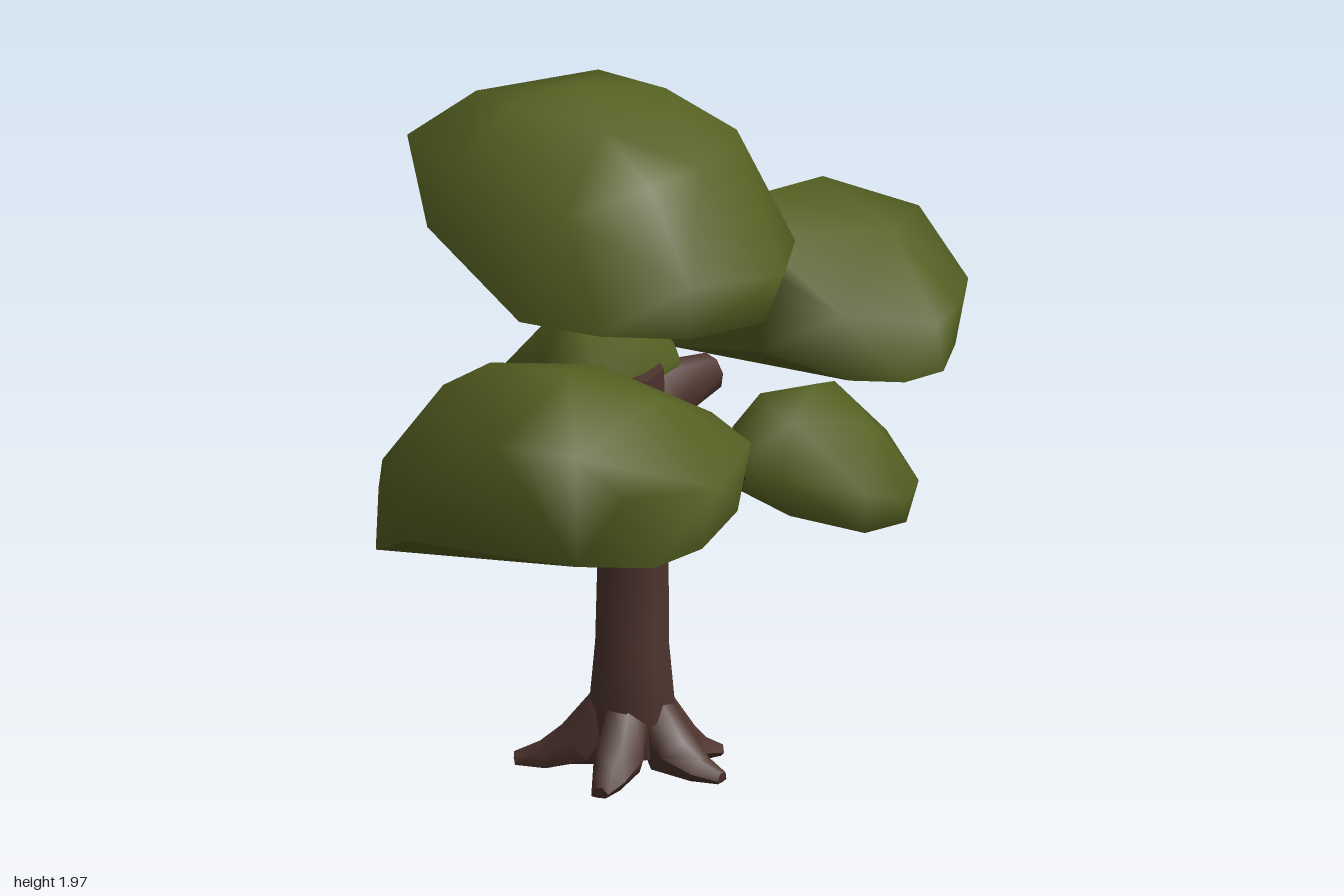
import * as THREE from 'three';
import { mergeGeometries, mergeVertices, toCreasedNormals } from 'three/addons/utils/BufferGeometryUtils.js';
import { ConvexGeometry } from 'three/addons/geometries/ConvexGeometry.js';

const V = (x, y, z) => new THREE.Vector3(x, y, z);

// Leaf cushion: smooth dome over an underside outline, with a sharp edge between the two
function cushion(underside, ...outlines) {
  const pos = new ConvexGeometry([underside, ...outlines].flat().map((p) => V(...p))).attributes.position;
  const low = underside.map((p) => V(...p));
  const faces = { dome: [], bottom: [] };
  for (let i = 0; i < pos.count; i += 3) {
    const tri = [0, 1, 2].map((k) => V().fromBufferAttribute(pos, i + k));
    const isBottom = tri.every((v) => low.some((p) => p.distanceTo(v) < 1e-4));
    faces[isBottom ? 'bottom' : 'dome'].push(...tri);
  }
  return mergeGeometries(Object.values(faces).map((points) => {
    const g = mergeVertices(new THREE.BufferGeometry().setFromPoints(points), 1e-4);
    g.computeVertexNormals();
    return g;
  }));
}

// Tapered limb through stations [x, y, z, radius], closed at both ends, never below ground
function limb(stations, sides = 8) {
  const path = stations.map(([x, y, z]) => V(x, y, z));
  const rings = [[0, 0], ...stations.map((s, i) => [i, s[3]]), [stations.length - 1, 0]];
  const pos = [], index = [];
  const up = V(0, 1, 0), q = new THREE.Quaternion();
  rings.forEach(([i, r], k) => {
    const dir = path[Math.min(i + 1, path.length - 1)].clone().sub(path[Math.max(i - 1, 0)]).normalize();
    q.setFromUnitVectors(up, dir);
    for (let j = 0; j < sides; j++) {
      const a = (j / sides) * Math.PI * 2 + 0.3;
      const p = V(Math.cos(a) * r, 0, -Math.sin(a) * r).applyQuaternion(q).add(path[i]);
      pos.push(p.x, Math.max(p.y, 0), p.z);
      if (k === rings.length - 1) continue;
      const b = k * sides + j, c = k * sides + ((j + 1) % sides);
      if (k > 0) index.push(b, c, b + sides);
      if (k === 0) index.push(b, c + sides, b + sides);
      else if (k < rings.length - 2) index.push(c, c + sides, b + sides);
    }
  });
  const g = new THREE.BufferGeometry();
  g.setAttribute('position', new THREE.Float32BufferAttribute(pos, 3));
  g.setIndex(index);
  return toCreasedNormals(g, 1.1);
}

export function createModel() {
  const tree = new THREE.Group();
  tree.name = 'tree';
  const bark = new THREE.MeshStandardMaterial({ color: 0x4e342e });
  bark.name = 'bark brown';
  const leaf = new THREE.MeshStandardMaterial({ color: 0x556022 });
  leaf.name = 'leaf green';
  const add = (name, geometry, material) => {
    const mesh = new THREE.Mesh(geometry, material);
    mesh.name = name;
    tree.add(mesh);
  };

  // Trunk and branches
  add('trunk', limb([
    [-0.04, 0.05, 0.005, 0.1], [-0.04, 0.2, 0.01, 0.117], [-0.04, 0.36, 0.01, 0.102], [-0.04, 0.6, 0.005, 0.098],
    [-0.04, 0.74, 0.02, 0.098], [-0.04, 0.9, 0.015, 0.09], [-0.04, 1.03, 0.03, 0.1], [-0.04, 1.15, 0.05, 0.105],
  ]), bark);
  add('upperBranch', limb([[-0.04, 0.93, 0.03, 0.08], [-0.02, 1.04, -0.1, 0.1], [0.05, 1.06, -0.29, 0.055]]), bark);
  add('lowerBranch', limb([[-0.04, 0.67, 0.01, 0.08], [0.03, 0.73, -0.11, 0.066], [0.13, 0.8, -0.31, 0.045]], 6), bark);

  // Spreading roots
  for (const [x, z] of [[-0.35, 0.1], [0, 0.3], [0.24, 0.03], [0.12, -0.21], [-0.19, -0.15]]) {
    const at = (t, y, r) => [-0.04 + (x + 0.04) * t, y, z * t, r];
    add('root', limb([at(0.15, 0.2, 0.06), at(0.45, 0.06, 0.075), at(0.75, 0.02, 0.048), at(1, 0.008, 0.025)], 6), bark);
  }

  // Leaf cushions: underside, outer outline, crown
  add('topFoliage', cushion(
    [[-0.62, 1.79, 0.22], [-0.44, 1.62, 0.47], [-0.1, 1.43, 0.6], [0.13, 1.41, 0.57], [0.32, 1.38, 0.4],
      [0.38, 1.34, 0.05], [0.2, 1.38, -0.28], [-0.17, 1.55, -0.36], [-0.48, 1.72, -0.12]],
    [[0.49, 1.52, 0.16], [0.41, 1.54, -0.08], [0.18, 1.6, -0.36], [-0.17, 1.79, -0.33], [0.35, 1.55, 0.46],
      [0.02, 1.73, 0.57], [-0.36, 1.8, 0.43]],
    [[-0.43, 1.93, 0.18], [-0.13, 1.97, 0.1], [0.26, 1.81, 0.2], [-0.28, 1.93, 0.27], [0, 1.9, 0.28], [-0.2, 1.94, -0.11],
      [0, 1.91, -0.12], [0.2, 1.81, -0.15], [0.18, 1.78, 0.36]],
  ), leaf);
  add('frontFoliage', cushion(
    [[-0.51, 0.74, 0.65], [-0.42, 0.8, 0.45], [-0.25, 0.9, 0.24], [0, 1.07, 0.16], [0.25, 0.94, 0.23],
      [0.45, 0.9, 0.37], [0.5, 0.89, 0.7], [0.43, 0.87, 0.86], [0.25, 0.88, 0.97], [0.02, 0.88, 0.97], [-0.3, 0.86, 0.89]],
    [[0.57, 1.08, 0.73], [0.49, 1.1, 0.37], [0.3, 1.12, 0.22], [-0.1, 1.1, 0.18], [-0.42, 1.05, 0.42], [-0.49, 1, 0.65],
      [-0.43, 0.97, 0.8], [-0.31, 1.02, 0.91], [0.02, 1.2, 1], [0.26, 1.2, 1], [0.38, 1.08, 0.94]],
    [[-0.33, 1.22, 0.6], [-0.15, 1.33, 0.68], [0.1, 1.34, 0.7], [0.33, 1.27, 0.6], [0.05, 1.28, 0.42]],
  ), leaf);
  add('backFoliage', cushion(
    [[0.61, 1.05, -0.6], [0.56, 1.05, -0.46], [0.45, 1.04, -0.7], [0.56, 1.07, -0.78], [0.4, 1.08, -0.9], [0.33, 1.14, -1],
      [-0.04, 1.08, -0.92], [-0.2, 1.07, -0.68], [-0.15, 1.06, -0.46], [0.2, 1.13, -0.31], [0.43, 1.06, -0.38]],
    [[0.62, 1.22, -0.67], [0.62, 1.2, -0.54], [0.58, 1.25, -0.82], [0.35, 1.38, -0.99], [-0.06, 1.3, -0.97],
      [-0.24, 1.23, -0.74], [-0.25, 1.24, -0.62], [-0.17, 1.28, -0.45], [0.2, 1.38, -0.29], [0.43, 1.26, -0.33]],
    [[0.43, 1.42, -0.65], [0.12, 1.52, -0.53], [0.15, 1.49, -0.8], [-0.08, 1.43, -0.6], [0.2, 1.44, -0.32], [0, 1.4, -0.38]],
  ), leaf);
  add('lowerFoliage', cushion(
    [[0.45, 0.57, -0.7], [0.42, 0.59, -0.5], [0.35, 0.63, -0.83], [0.25, 0.65, -0.38], [0.08, 0.74, -0.32],
      [0.02, 0.76, -0.6], [0.07, 0.76, -0.76]],
    [[0.48, 0.65, -0.65], [0.45, 0.72, -0.45], [0.28, 0.78, -0.28], [0.12, 0.8, -0.27], [0.02, 0.84, -0.5],
      [0.3, 0.76, -0.89], [0.08, 0.82, -0.82], [0.44, 0.66, -0.8]],
    [[0.4, 0.87, -0.6], [0.25, 0.98, -0.55], [0.2, 0.92, -0.77], [0.08, 0.93, -0.55], [0.25, 0.91, -0.4]],
  ), leaf);
  add('sideFoliage', cushion(
    [[-0.41, 0.96, -0.05], [-0.35, 0.95, -0.33], [-0.22, 0.98, -0.46], [-0.1, 0.95, -0.3], [-0.25, 0.95, 0],
      [-0.2, 1.05, 0.1], [0, 1.07, -0.2], [0.03, 1.12, 0.1]],
    [[-0.46, 1.08, -0.17], [-0.46, 1.1, -0.27], [-0.43, 1.1, 0], [-0.25, 1.16, 0.14], [-0.07, 1.15, 0.17], [0.06, 1.16, -0.08],
      [-0.23, 1.05, -0.5], [-0.38, 1.06, -0.38], [-0.1, 1.1, -0.38]],
    [[-0.29, 1.27, -0.08], [-0.25, 1.28, -0.22], [-0.2, 1.22, -0.3], [-0.15, 1.25, 0.06], [-0.02, 1.25, -0.08]],
  ), leaf);
  return tree;
}
